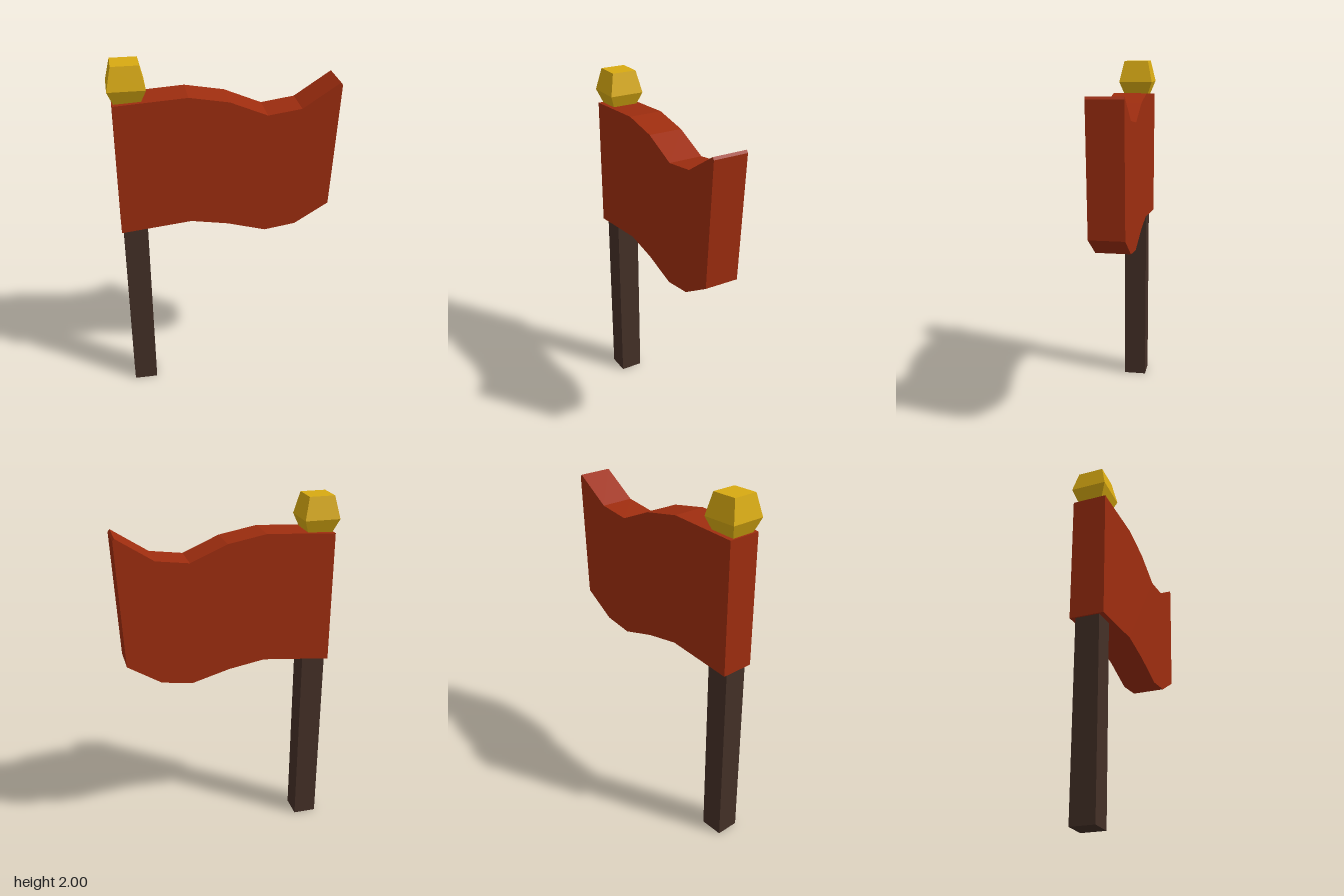
import * as THREE from 'three';

const POLE_X = -0.505;

function part(name, geometry, material) {
  const mesh = new THREE.Mesh(geometry, material);
  mesh.name = name;
  return mesh;
}

export function createModel() {
  const wood = new THREE.MeshStandardMaterial({ color: 0x443027 });
  wood.name = 'dark wood';
  const cloth = new THREE.MeshStandardMaterial({ color: 0x9e2d0f });
  cloth.name = 'red cloth';
  const gold = new THREE.MeshStandardMaterial({ color: 0xd8aa12 });
  gold.name = 'gold';

  const model = new THREE.Group();
  model.name = 'flag';

  // Square pole, running up inside the cloth to the finial
  const pole = part('pole', new THREE.BoxGeometry(0.132, 1.8, 0.132), wood);
  pole.position.set(POLE_X, 0.9, 0);
  model.add(pole);

  // Thick waving cloth: the outline runs along the bottom edge, then back along the top
  const outline = [
    [-0.582, 1.075], [-0.2, 1.115], [0, 1.08], [0.21, 1.02], [0.38, 1.045], [0.565, 1.16],
    [0.597, 1.847], [0.587, 1.86], [0.39, 1.73], [0.21, 1.705], [0.01, 1.79], [-0.2, 1.828], [-0.582, 1.805],
  ].map(([x, y]) => new THREE.Vector2(x, y));
  const clothGeometry = new THREE.ExtrudeGeometry(new THREE.Shape(outline), { depth: 0.188, bevelEnabled: false });
  clothGeometry.translate(0, 0, -0.094);
  model.add(part('cloth', clothGeometry, cloth));

  // Four-sided faceted finial, given as half widths and heights
  const profile = [[0, 1.79], [0.062, 1.79], [0.097, 1.88], [0.07, 2], [0, 2]]
    .map(([half, y]) => new THREE.Vector2(half * Math.SQRT2, y));
  const finialGeometry = new THREE.LatheGeometry(profile, 4, Math.PI / 4).toNonIndexed();
  finialGeometry.computeVertexNormals();
  const finial = part('finial', finialGeometry, gold);
  finial.position.x = POLE_X;
  model.add(finial);

  return model;
}
